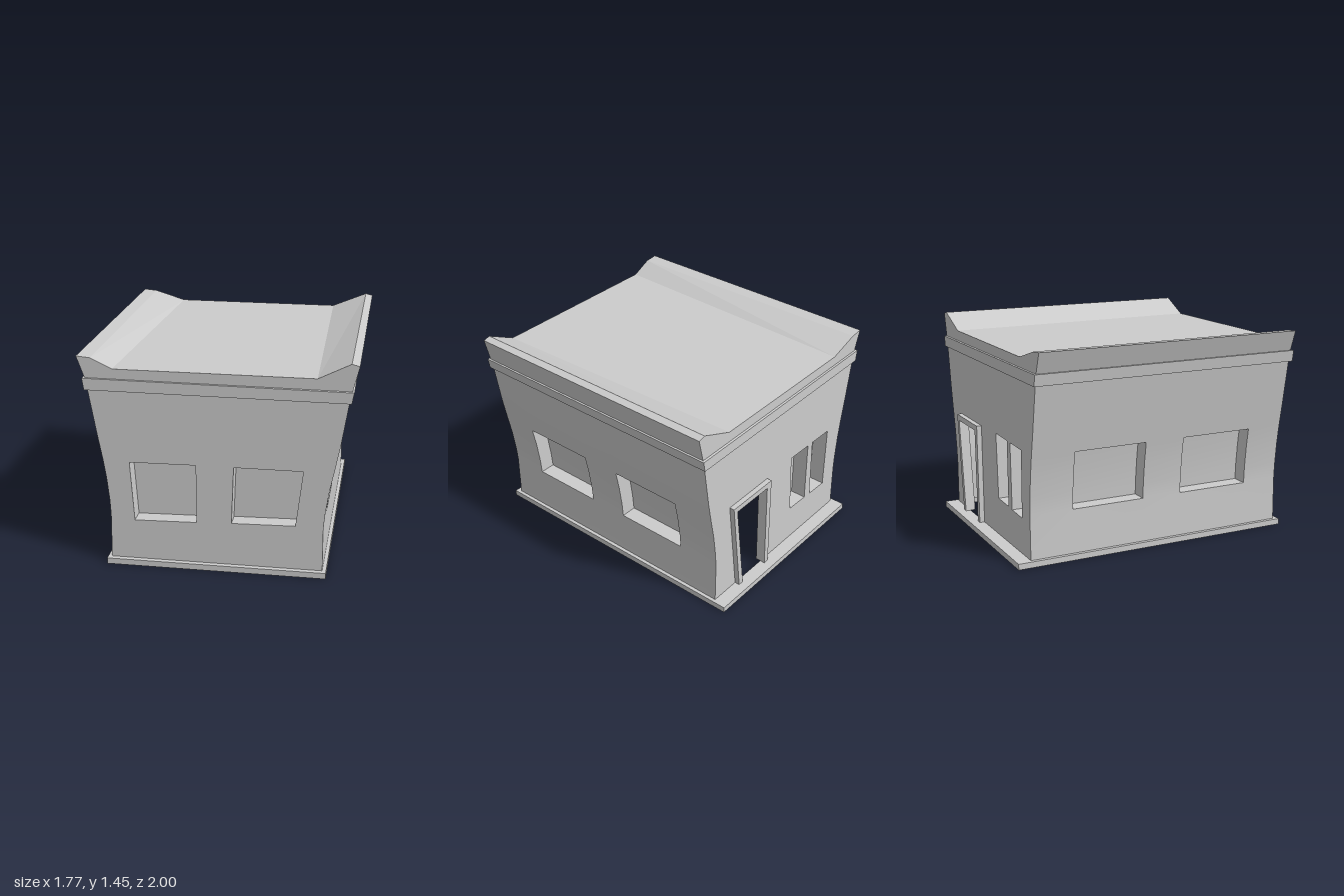
import * as THREE from 'three';

const material = new THREE.MeshStandardMaterial({ color: 0xcccccc, side: THREE.DoubleSide });
const V = (x, y, z) => new THREE.Vector3(x, y, z);

// Outline of the flared walls: height, left-hand x, right-hand x
const levels = [
  [0.04, -0.71, 0.69], [0.34, -0.705, 0.69], [0.45, -0.71, 0.70], [0.6, -0.725, 0.722],
  [0.735, -0.745, 0.75], [0.9, -0.775, 0.782], [1.2, -0.825, 0.83],
];
const FRONT = 0.965, BACK = -0.905, RECESS = 0.11;

// Sheet through rows of points; cells where skip(row, column) is true stay open
function sheet(rows, { skip = () => false, flat = true } = {}) {
  const n = rows[0].length, index = [];
  for (let r = 0; r < rows.length - 1; r++) {
    for (let c = 0; c < n - 1; c++) {
      if (skip(r, c)) continue;
      const a = r * n + c, b = a + 1, d = a + n, e = d + 1;
      index.push(a, b, e, a, e, d);
    }
  }
  let geometry = new THREE.BufferGeometry().setFromPoints(rows.flat());
  geometry.setIndex(index);
  if (flat) geometry = geometry.toNonIndexed();
  geometry.computeVertexNormals();
  return geometry;
}

function add(parent, name, geometry) {
  const mesh = new THREE.Mesh(geometry, material);
  mesh.name = name;
  parent.add(mesh);
  return mesh;
}

// Blind window: reveals round a two-column opening, and a pane pushed in by offset
function niche(parent, name, rows, offset) {
  const group = new THREE.Group();
  group.name = name;
  const inner = rows.map((row) => row.map((p) => p.clone().add(offset)));
  const ring = (g) => [...g.map((r) => r[0]), ...g.map((r) => r[1]).reverse(), g[0][0]];
  add(group, 'reveal', sheet([ring(rows), ring(inner)]));
  add(group, 'pane', sheet(inner, { flat: false }));
  parent.add(group);
}

// Horizontal rectangle, tilted between its left and right heights
const rectangle = ([x0, x1, z0, z1, yl, yr]) =>
  [V(x0, yl, z0), V(x0, yl, z1), V(x1, yr, z1), V(x1, yr, z0), V(x0, yl, z0)];

const toShape = (points) => new THREE.Shape(points.map(([x, y]) => new THREE.Vector2(x, y)));

// Flat front or back wall with four-cornered openings
function endWall(parent, name, z, holes) {
  const shape = toShape([
    ...levels.map(([y, l]) => [l, y]),
    ...levels.map(([y, , r]) => [r, y]).reverse(),
  ]);
  holes.forEach((h) => shape.holes.push(toShape(h)));
  const geometry = new THREE.ShapeGeometry(shape);
  if (z < 0) geometry.scale(1, 1, 1);
  geometry.translate(0, 0, z);
  add(parent, name, geometry);
}

export function createModel() {
  const house = new THREE.Group();
  house.name = 'house';

  // Corners of openings: lower left, lower right, upper right, upper left
  const frontWindows = [
    [[-0.545, 0.315], [-0.135, 0.325], [-0.135, 0.725], [-0.57, 0.72]],
    [[0.095, 0.335], [0.51, 0.345], [0.555, 0.725], [0.11, 0.725]],
  ];
  const backWindows = [
    [[-0.335, 0.295], [-0.155, 0.3], [-0.13, 0.75], [-0.33, 0.745]],
    [[-0.57, 0.285], [-0.4, 0.29], [-0.385, 0.745], [-0.575, 0.74]],
  ];
  const doorway = [[0.18, 0.04], [0.43, 0.04], [0.52, 0.7], [0.195, 0.7]];

  endWall(house, 'frontWall', FRONT, frontWindows);
  endWall(house, 'backWall', BACK, [...backWindows, doorway]);
  for (const [list, z, name] of [[frontWindows, FRONT, 'frontWindow'], [backWindows, BACK, 'backWindow']]) {
    for (const [a, b, c, d] of list) {
      const at = ([x, y]) => V(x, y, z);
      niche(house, name, [[at(a), at(b)], [at(d), at(c)]], V(0, 0, -Math.sign(z) * RECESS));
    }
  }

  // Curved side walls, each with two windows
  const zs = [BACK, -0.605, -0.09, 0.195, 0.71, FRONT];
  for (const [side, name] of [[1, 'rightWall'], [2, 'leftWall']]) {
    const column = side === 1 ? 2 : 1;
    const rows = levels.map((l) => zs.map((z) => V(l[column], l[0], z)));
    add(house, column === 2 ? 'leftWall' : 'rightWall', sheet(rows, {
      flat: false,
      skip: (r, c) => r >= 1 && r <= 3 && (c === 1 || c === 3),
    }));
    for (const c of [1, 3]) {
      const opening = rows.slice(1, 5).map((row) => [row[c].clone(), row[c + 1].clone()]);
      niche(house, 'sideWindow', opening, V(column === 2 ? -RECESS : RECESS, 0, 0));
    }
  }

  // Door frame standing proud of the back wall
  const frame = toShape([
    [0.14, 0.04], [0.18, 0.04], [0.195, 0.7], [0.52, 0.7],
    [0.43, 0.04], [0.47, 0.04], [0.56, 0.74], [0.15, 0.74],
  ]);
  const frameGeometry = new THREE.ExtrudeGeometry(frame, { depth: 0.07, bevelEnabled: false });
  add(house, 'doorFrame', frameGeometry.translate(0, 0, -0.94));

  // Plinth: upright edge and ledge back to the walls, open underneath
  add(house, 'plinth', sheet([
    [-0.735, 0.715, -1, 1, 0, 0],
    [-0.735, 0.715, -1, 1, 0.04, 0.04],
    [-0.71, 0.69, BACK, FRONT, 0.04, 0.04],
  ].map(rectangle)));

  // Cornice band, slightly tilted
  add(house, 'cornice', sheet([
    [-0.825, 0.83, BACK, FRONT, 1.203, 1.195],
    [-0.843, 0.843, -0.92, 0.983, 1.203, 1.195],
    [-0.855, 0.857, -0.92, 0.983, 1.28, 1.268],
    [-0.84, 0.845, BACK, 0.967, 1.28, 1.27],
  ].map(rectangle)));

  // Roof with upturned side edges; the valleys widen towards the front
  const roofProfile = (left, right) => [
    [0.845, 1.27], [0.885, 1.432], [0.835, 1.445], [right, 1.343],
    [left, 1.345], [-0.8, 1.412], [-0.89, 1.42], [-0.84, 1.28],
  ];
  const ends = [[roofProfile(-0.58, 0.59), BACK], [roofProfile(-0.66, 0.63), 0.967]];
  add(house, 'roof', sheet(ends.map(([p, z]) => p.map(([x, y]) => V(x, y, z)))));
  for (const [p, z] of ends) {
    add(house, 'parapet', new THREE.ShapeGeometry(toShape(p)).translate(0, 0, z));
  }
  return house;
}
